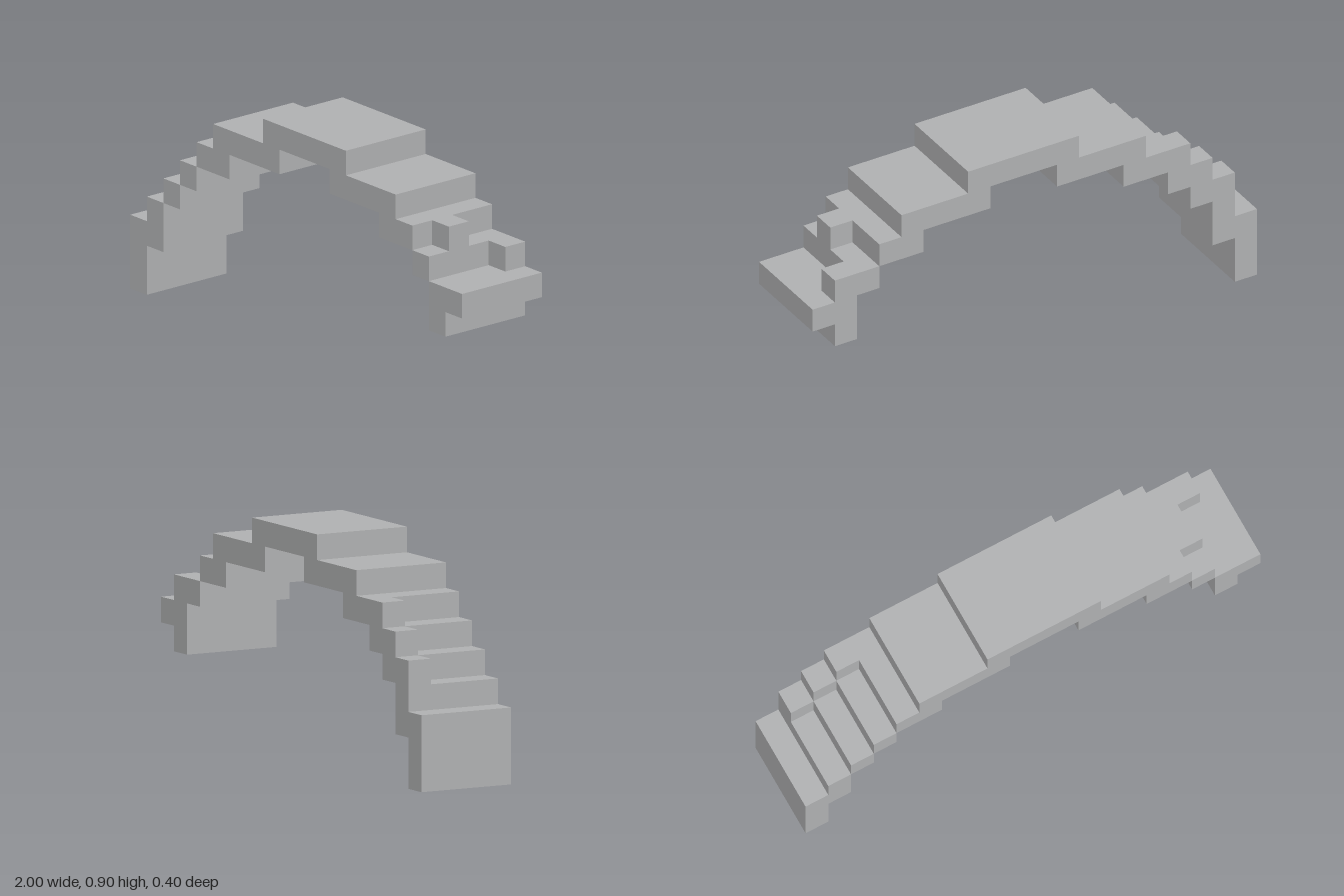
import * as THREE from 'three';

const U = 0.1; // one block

export function createModel() {
  const model = new THREE.Group();
  model.name = 'blockArch';
  const stone = new THREE.MeshStandardMaterial({ color: 0xb0b1b2 });
  stone.name = 'stone grey';

  // Side profile in block units, extruded across the full depth of four blocks
  const addProfile = (name, points) => {
    const shape = new THREE.Shape(points.map(([x, y]) => new THREE.Vector2(x * U, y * U)));
    const geometry = new THREE.ExtrudeGeometry(shape, { depth: 4 * U, bevelEnabled: false });
    geometry.translate(0, 0, -2 * U);
    const mesh = new THREE.Mesh(geometry, stone);
    mesh.name = name;
    model.add(mesh);
  };

  // Row of blocks with its lowest corner at block x, y, z
  const addBlock = (name, x, y, z, depth) => {
    const mesh = new THREE.Mesh(new THREE.BoxGeometry(U, U, depth * U), stone);
    mesh.name = name;
    mesh.position.set((x + 0.5) * U, (y + 0.5) * U, (z + depth / 2) * U);
    model.add(mesh);
  };

  // Tall leg standing on the ground
  addProfile('tallLeg', [[-10, 0], [-9, 0], [-9, 2], [-8, 2], [-8, 4], [-9, 4], [-9, 3], [-10, 3]]);

  // Stepped crown of the arch
  addProfile('archSpan', [
    [-6, 6], [-4, 6], [-4, 7], [-1, 7], [-1, 8], [2, 8], [2, 7], [5, 7], [5, 6], [7, 6],
    [7, 7], [6, 7], [6, 8], [3, 8], [3, 9], [-2, 9], [-2, 8], [-5, 8], [-5, 7], [-6, 7],
  ]);

  // Broken end with an overhanging ledge
  addProfile('shortFoot', [[8, 3], [9, 3], [9, 4], [10, 4], [10, 5], [8, 5]]);

  // Full-depth steps that meet edge to edge
  [[-8, 4], [-7, 5], [7, 5]].forEach(([x, y], i) => addBlock(`step${i + 1}`, x, y, -2, 4));

  // Single blocks left standing on the steps: x, y, z
  [[-9, 4, -2], [-8, 5, -2], [-7, 6, -2], [7, 6, 0], [8, 5, -2]]
    .forEach(([x, y, z], i) => addBlock(`looseBlock${i + 1}`, x, y, z, 1));

  return model;
}
